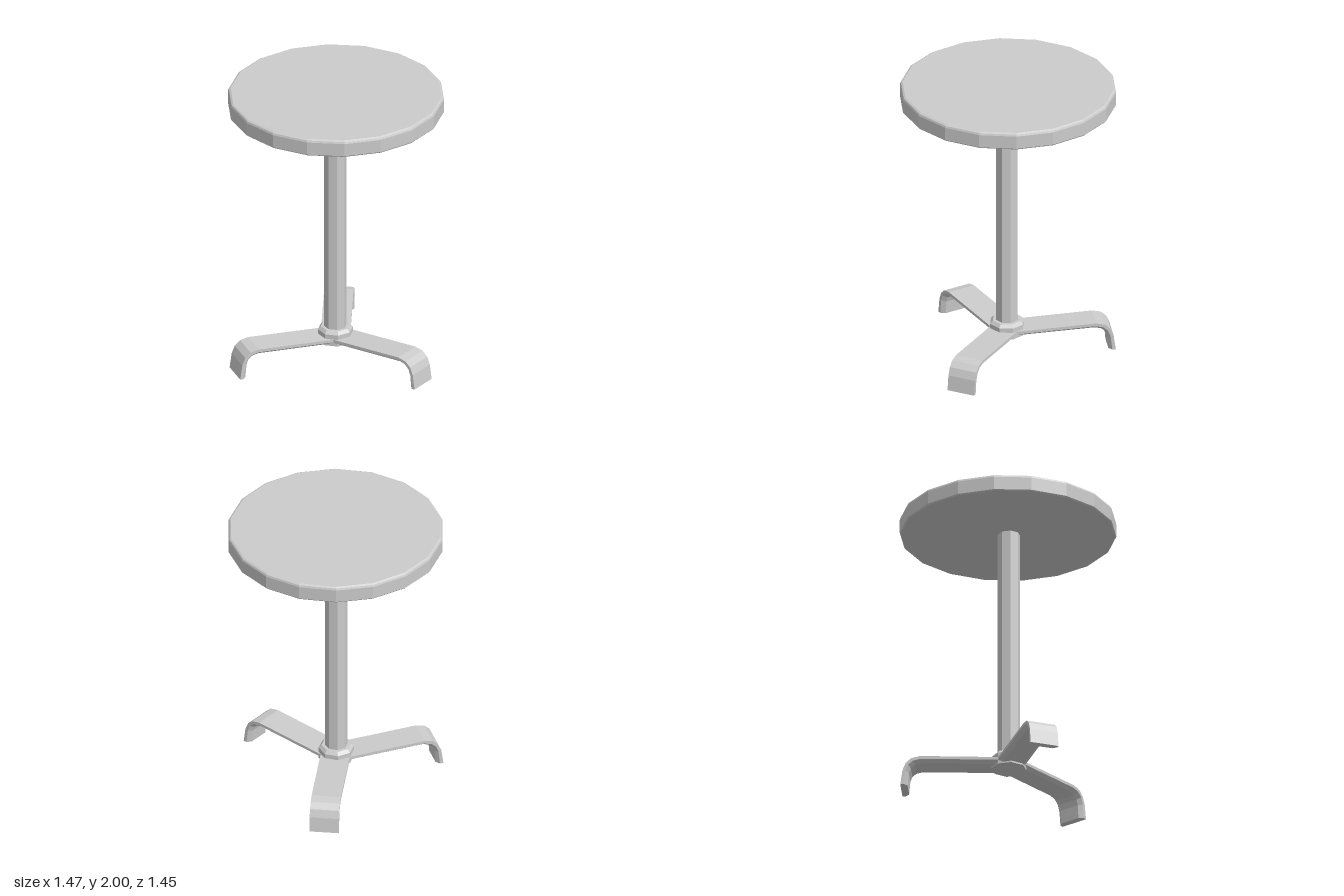
import * as THREE from 'three';

const material = new THREE.MeshStandardMaterial({ color: 0xcccccc, flatShading: true });

// Faceted turned part from [radius, height] pairs, with a corner on the x axis
function turned(name, profile, sides) {
  const points = profile.map(([r, y]) => new THREE.Vector2(r, y));
  const geometry = new THREE.LatheGeometry(points, sides).rotateY(Math.PI / 2);
  const flat = geometry.toNonIndexed();
  flat.computeVertexNormals();
  const mesh = new THREE.Mesh(flat, material);
  mesh.name = name;
  return mesh;
}

// Bent strip running along +z: flat on the outside, chamfered on the inside
function legGeometry() {
  const halfWidth = 0.1, chamfer = 0.028;
  // [outer z, outer y, inner z, inner y] from the hub to the foot
  const stations = [
    [0, 0.176, 0, 0.136],
    [0.595, 0.205, 0.588, 0.163],
    [0.655, 0.192, 0.632, 0.153],
    [0.693, 0.158, 0.66, 0.13],
    [0.715, 0.105, 0.674, 0.092],
    [0.73, 0, 0.682, 0],
  ];
  const rings = stations.map(([oz, oy, iz, iy]) => {
    const mz = (oz + iz) / 2, my = (oy + iy) / 2, n = halfWidth - chamfer;
    return [
      [halfWidth, oy, oz], [-halfWidth, oy, oz], [-halfWidth, my, mz],
      [-n, iy, iz], [n, iy, iz], [halfWidth, my, mz],
    ];
  });
  const positions = [];
  const triangle = (a, b, c) => positions.push(...a, ...b, ...c);
  const count = rings[0].length;
  for (let i = 0; i < rings.length - 1; i++) {
    for (let k = 0; k < count; k++) {
      const a = rings[i][k], b = rings[i][(k + 1) % count];
      const c = rings[i + 1][(k + 1) % count], d = rings[i + 1][k];
      triangle(a, b, c);
      triangle(a, c, d);
    }
  }
  // End caps
  const first = rings[0], last = rings[rings.length - 1];
  for (let k = 1; k < count - 1; k++) {
    triangle(first[0], first[k + 1], first[k]);
    triangle(last[0], last[k], last[k + 1]);
  }
  const geometry = new THREE.BufferGeometry();
  geometry.setAttribute('position', new THREE.Float32BufferAttribute(positions, 3));
  geometry.computeVertexNormals();
  return geometry;
}

export function createModel() {
  const model = new THREE.Group();
  model.name = 'pedestalStool';

  // Round seat with softened rims
  const seat = turned('seat', [
    [0, 1.88], [0.728, 1.88], [0.735, 1.888], [0.735, 1.98],
    [0.73, 1.993], [0.718, 2], [0, 2],
  ], 18);
  seat.position.x = -0.002;
  model.add(seat);

  // Column and its collar
  const pedestal = new THREE.Group();
  pedestal.name = 'pedestal';
  pedestal.position.x = -0.01;
  pedestal.add(turned('column', [[0.077, 0.2], [0.077, 1.885]], 8));
  pedestal.add(turned('collar', [
    [0, 0.13], [0.12, 0.13], [0.12, 0.213], [0.1, 0.235], [0, 0.235],
  ], 8));
  model.add(pedestal);

  // Three legs: one forward, two swept back
  const geometry = legGeometry();
  const legs = { frontLeg: 0, backLeftLeg: 123.2, backRightLeg: -123.2 };
  for (const [name, degrees] of Object.entries(legs)) {
    const leg = new THREE.Mesh(geometry, material);
    leg.name = name;
    leg.rotation.y = THREE.MathUtils.degToRad(degrees);
    leg.position.x = -0.009;
    model.add(leg);
  }
  return model;
}
